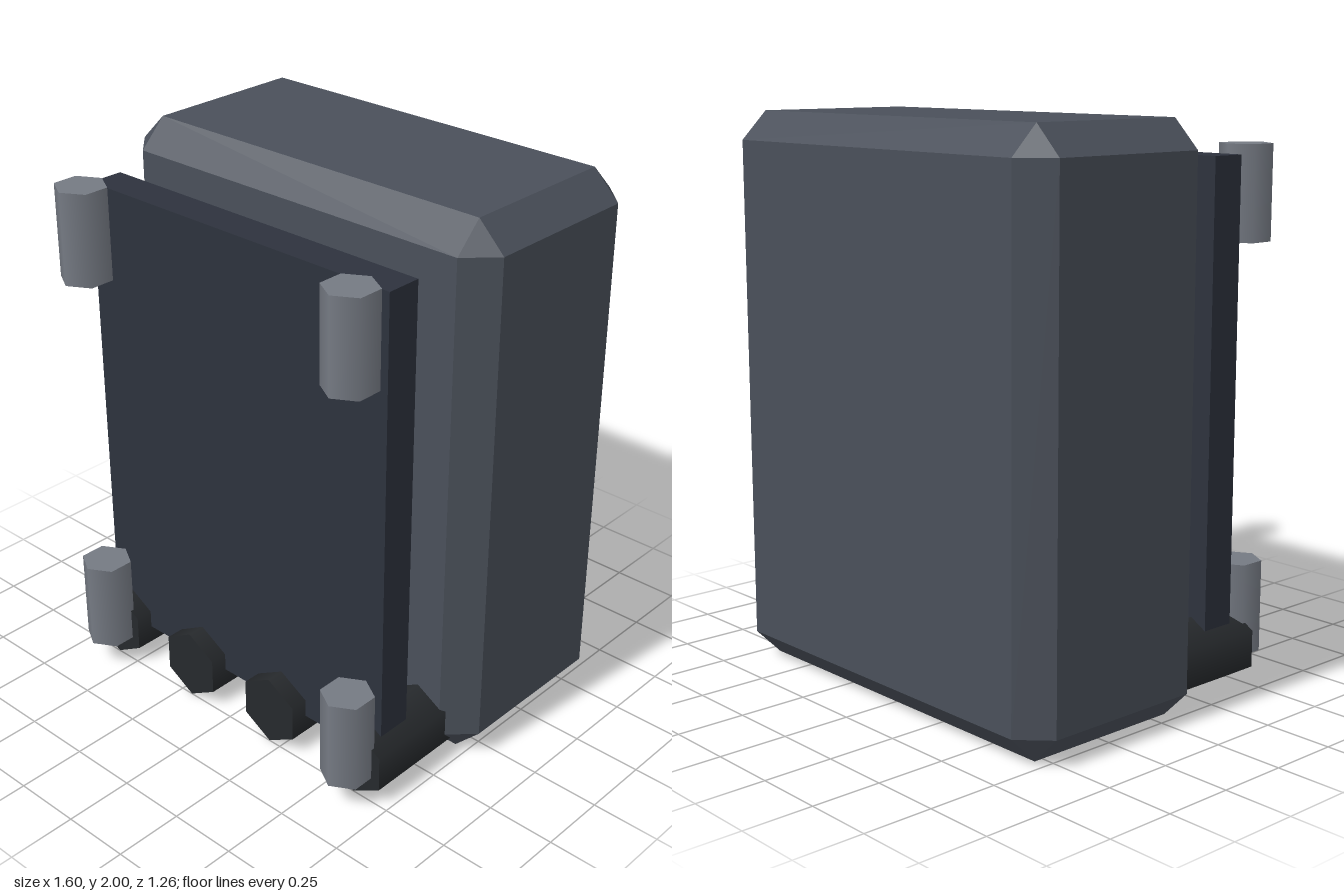
import * as THREE from 'three';
import { ConvexGeometry } from 'three/addons/geometries/ConvexGeometry.js';

const material = (color) => new THREE.MeshStandardMaterial({ color });

// Box with every edge cut at 45 degrees and triangular corners
function chamferedBox(w, h, d, c) {
  const points = [];
  for (const sx of [-1, 1]) for (const sy of [-1, 1]) for (const sz of [-1, 1]) {
    for (let face = 0; face < 3; face++) {
      const [x, y, z] = [w, h, d].map((size, axis) => size / 2 - (axis === face ? 0 : c));
      points.push(new THREE.Vector3(sx * x, sy * y, sz * z));
    }
  }
  return new ConvexGeometry(points);
}

export function createModel() {
  const model = new THREE.Group();

  const add = (name, geometry, mat, x, y, z) => {
    const mesh = new THREE.Mesh(geometry, mat);
    mesh.name = name;
    mesh.position.set(x, y, z);
    model.add(mesh);
    return mesh;
  };

  // Main body
  add('body', chamferedBox(1.6, 2, 0.8, 0.1), material(0x4a505a), 0, 1, -0.233);

  // Panel standing off the front
  add('frontPanel', new THREE.BoxGeometry(1.33, 1.733, 0.13), material(0x2d323d), 0, 1, 0.37);

  // Upright hexagonal posts at the panel corners
  const postGeometry = new THREE.CylinderGeometry(0.093, 0.093, 0.333, 6);
  const postMaterial = material(0x757a83);
  for (const x of [-0.6, 0.6]) {
    for (const y of [0.267, 1.733]) {
      add(`${y > 1 ? 'upper' : 'lower'}${x > 0 ? 'Left' : 'Right'}Post`, postGeometry, postMaterial, x, y, 0.534);
    }
  }

  // Row of hexagonal pegs running forward from the bottom of the body
  const pegGeometry = new THREE.CylinderGeometry(0.133, 0.133, 0.533, 6).rotateX(Math.PI / 2);
  const pegMaterial = material(0x26292c);
  for (let i = 0; i < 4; i++) {
    add(`peg${i + 1}`, pegGeometry, pegMaterial, -0.6 + i * 0.4, 0.134, 0.234);
  }

  return model;
}
